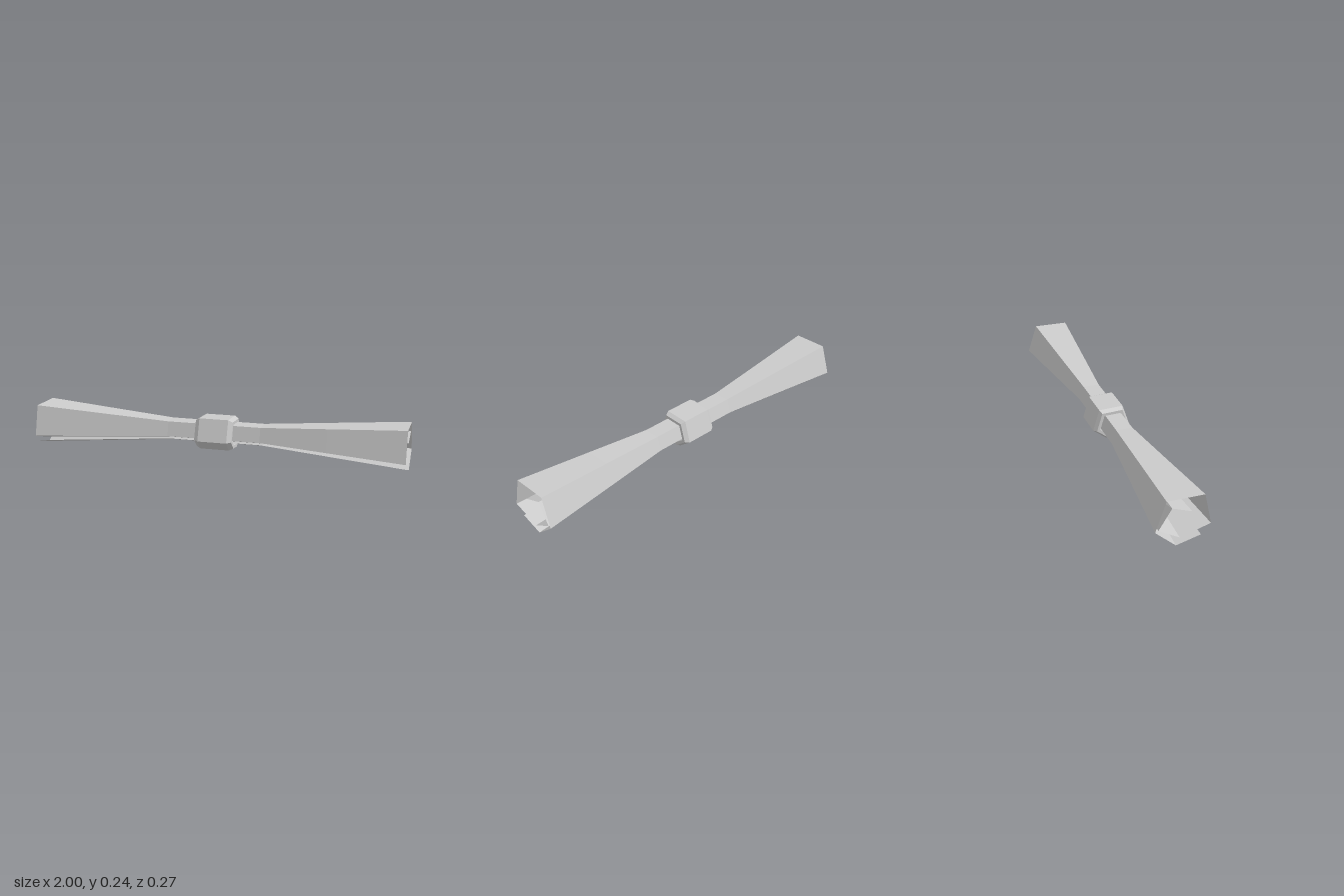
import * as THREE from 'three';

// Skin a list of cross-sections (each a list of [x, y, z]) with flat quads
function loft(sections, closed, material) {
  const positions = [];
  for (let i = 0; i < sections.length - 1; i++) {
    const a = sections[i], b = sections[i + 1], n = a.length;
    for (let j = 0; j < (closed ? n : n - 1); j++) {
      const k = (j + 1) % n;
      for (const p of [a[j], a[k], b[j], a[k], b[k], b[j]]) positions.push(...p);
    }
  }
  const geometry = new THREE.BufferGeometry();
  geometry.setAttribute('position', new THREE.Float32BufferAttribute(positions, 3));
  geometry.computeVertexNormals();
  return new THREE.Mesh(geometry, material);
}

export function createModel() {
  const group = new THREE.Group();
  group.name = 'tiedScroll';
  const material = new THREE.MeshStandardMaterial({
    color: 0xcccccc, flatShading: true, side: THREE.DoubleSide,
  });

  // Rolled sheet: spiral of [z, y] from outer edge to inner edge, at the flared ends
  const endSpiral = [
    [0.082, 0.035], [-0.037, 0.001], [-0.135, 0.086], [-0.085, 0.24], [0.1, 0.236],
    [0.136, 0.074], [-0.015, 0.032], [-0.12, 0.093], [-0.057, 0.198], [0.041, 0.16],
  ];
  // The same spiral squeezed by the band; the inner turns flatten
  const waistSpiral = endSpiral.map(([z, y]) => [z * 0.47, 0.14 + (y - 0.14) * 0.47]);
  waistSpiral.splice(7, 3, [-0.055, 0.114], [-0.02, 0.126], [0.02, 0.121]);

  const stations = [[-0.985, 1], [-0.6, 0.47], [-0.25, 0], [0.25, 0], [0.6, 0.47], [1, 1]];
  const sheetSections = stations.map(([x, flare], s) => endSpiral.map(([z, y], i) => {
    const [wz, wy] = waistSpiral[i];
    // the outer flap slips out slightly at one end
    const slip = s === 0 ? [0.015, 0.01][i] || 0 : 0;
    return [x - slip, THREE.MathUtils.lerp(wy, y, flare), THREE.MathUtils.lerp(wz, z, flare)];
  }));
  const sheet = loft(sheetSections, false, material);
  sheet.name = 'rolledSheet';
  group.add(sheet);

  // Band: faceted ring with bevelled rims, closed back on itself inside
  const bandOutline = [
    [0.048, 0.052], [-0.03, 0.045], [-0.1, 0.1], [-0.066, 0.214], [0.062, 0.217], [0.1, 0.102],
  ];
  const rims = [
    [-0.095, 0.68], [-0.095, 0.86], [-0.073, 1], [0.083, 1], [0.105, 0.86], [0.105, 0.68], [-0.095, 0.68],
  ];
  const band = loft(rims.map(([x, s]) =>
    bandOutline.map(([z, y]) => [x, 0.131 + (y - 0.131) * s, z * s])), true, material);
  band.name = 'band';
  group.add(band);

  return group;
}
